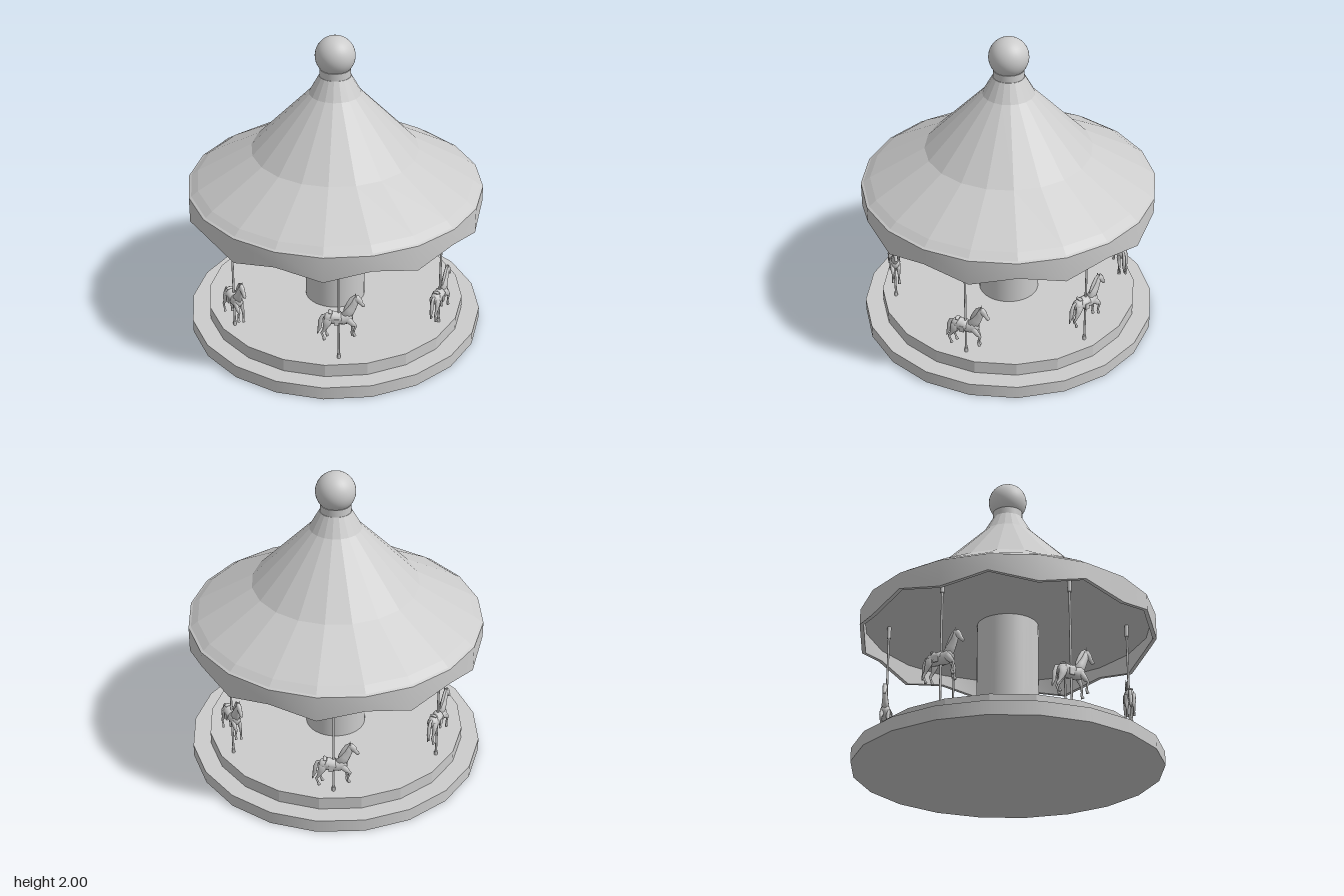
import * as THREE from 'three';
import { toCreasedNormals } from 'three/addons/utils/BufferGeometryUtils.js';

const SIDES = 20;
const smooth = new THREE.MeshStandardMaterial({ color: 0xcccccc });
const flat = new THREE.MeshStandardMaterial({ color: 0xcccccc, flatShading: true });

function add(parent, name, geometry, y = 0, material = smooth) {
  const mesh = new THREE.Mesh(geometry, material);
  mesh.name = name;
  mesh.position.y = y;
  parent.add(mesh);
  return mesh;
}

const lathe = (profile, sides) =>
  new THREE.LatheGeometry(profile.map(([r, y]) => new THREE.Vector2(r, y)), sides);

// Closed organic form through rings [x, y, heightRadius, widthRadius, z]
function loft(rings, z = 0, n = 10) {
  const first = rings[0], last = rings[rings.length - 1];
  const cap = (r) => [r[0], r[1], 0, 0, r[4]];
  const path = [cap(first), ...rings, cap(last)];
  const pos = [], index = [];
  path.forEach((r, i) => {
    const k = Math.min(Math.max(i - 1, 0), rings.length - 1);
    const a = rings[Math.max(k - 1, 0)], b = rings[Math.min(k + 1, rings.length - 1)];
    const len = Math.hypot(b[0] - a[0], b[1] - a[1]);
    const tx = (b[0] - a[0]) / len, ty = (b[1] - a[1]) / len;
    for (let j = 0; j < n; j++) {
      const t = (j / n) * Math.PI * 2, c = Math.cos(t) * r[2];
      pos.push(r[0] - ty * c, r[1] + tx * c, z + (r[4] || 0) + Math.sin(t) * r[3]);
      if (i < path.length - 1) {
        const p = i * n + j, q = i * n + ((j + 1) % n);
        index.push(p, q, p + n, q, q + n, p + n);
      }
    }
  });
  const g = new THREE.BufferGeometry();
  g.setAttribute('position', new THREE.Float32BufferAttribute(pos, 3));
  g.setIndex(index);
  g.computeVertexNormals();
  return g;
}

// Horse heading along +x, with its pole through the origin
function createHorse() {
  const horse = new THREE.Group();
  horse.name = 'horse';
  add(horse, 'body', loft([
    [-0.09, 0.012, 0.016, 0.016], [-0.078, 0.01, 0.034, 0.029], [-0.05, 0.008, 0.04, 0.034],
    [-0.01, 0.003, 0.037, 0.034], [0.03, 0.002, 0.04, 0.034], [0.06, 0.012, 0.04, 0.031],
    [0.082, 0.018, 0.022, 0.02]], 0, 14));
  add(horse, 'neck', loft([
    [0.045, 0.02, 0.036, 0.027], [0.072, 0.065, 0.03, 0.02],
    [0.094, 0.108, 0.023, 0.015], [0.106, 0.142, 0.018, 0.013]]));
  add(horse, 'head', loft([
    [0.094, 0.154, 0.012, 0.01], [0.108, 0.146, 0.022, 0.016], [0.124, 0.126, 0.02, 0.015],
    [0.138, 0.106, 0.012, 0.011], [0.149, 0.092, 0.012, 0.01], [0.153, 0.086, 0.007, 0.007]]));
  add(horse, 'mane', loft([
    [0.104, 0.166, 0.007, 0.005], [0.082, 0.146, 0.014, 0.007], [0.062, 0.108, 0.016, 0.008],
    [0.042, 0.073, 0.012, 0.007], [0.03, 0.05, 0.004, 0.004]]));
  add(horse, 'tail', loft([
    [-0.082, 0.03, 0.007, 0.007], [-0.1, 0.024, 0.01, 0.009], [-0.113, -0.015, 0.014, 0.012],
    [-0.117, -0.06, 0.012, 0.01], [-0.13, -0.105, 0.003, 0.003]]));

  // Saddle seat, raised back and hanging flaps
  add(horse, 'saddle', loft([
    [-0.055, 0.022, 0.036, 0.03], [-0.045, 0.017, 0.037, 0.035],
    [-0.015, 0.012, 0.033, 0.037], [0.015, 0.015, 0.035, 0.035]], 0, 14));
  add(horse, 'saddleBack', loft([
    [-0.064, 0.05, 0.006, 0.02], [-0.054, 0.052, 0.009, 0.024], [-0.044, 0.047, 0.006, 0.02]]));

  for (const s of [-1, 1]) {
    const ear = add(horse, 'ear', new THREE.ConeGeometry(0.005, 0.022, 6));
    ear.position.set(0.102, 0.168, s * 0.009);
    const flap = add(horse, 'saddleFlap', new THREE.BoxGeometry(0.032, 0.042, 0.006));
    flap.position.set(-0.015, -0.004, s * 0.035);

    // Legs differ between the sides, as in a gallop
    const d = s > 0 ? 0.02 : 0;
    add(horse, 'frontLeg', loft([
      [0.055, 0.005, 0.024, 0.014], [0.068 + d, -0.032, 0.016, 0.012],
      [0.083 + d, -0.064 + d, 0.009, 0.008], [0.082 + d / 2, -0.098 + d, 0.006, 0.006],
      [0.08 + d / 2, -0.116 + d, 0.007, 0.007], [0.088 + d / 2, -0.136 + d, 0.011, 0.009]],
      s * 0.02, 8));
    add(horse, 'hindLeg', loft([
      [-0.062, 0.008, 0.03, 0.016], [-0.056 - d, -0.032, 0.022, 0.014],
      [-0.07 - d, -0.066, 0.011, 0.009], [-0.086 - d, -0.088, 0.008, 0.007],
      [-0.076 - d, -0.116, 0.006, 0.006], [-0.068 - d, -0.138, 0.011, 0.009]],
      s * 0.021, 8));
  }
  return horse;
}

// Roof skirt whose lower edge zigzags from corner to corner
function createValance() {
  const g = lathe([[0.915, 0.98], [0.915, 0.835], [0.94, 0.835], [0.94, 1.005], [0.925, 1.012]], SIDES);
  const p = g.attributes.position;
  for (let i = 0; i < p.count; i++) {
    const corner = Math.floor(i / 5);
    if (corner % 2 && p.getY(i) < 0.84) p.setY(i, 0.9);
  }
  return toCreasedNormals(g, 0.5);
}

export function createModel() {
  const carousel = new THREE.Group();
  carousel.name = 'carousel';

  // Stepped platform and centre column
  add(carousel, 'lowerStep', new THREE.CylinderGeometry(0.957, 0.957, 0.085, SIDES), 0.0425);
  add(carousel, 'platform', new THREE.CylinderGeometry(0.84, 0.84, 0.085, SIDES), 0.1275, flat);
  add(carousel, 'column', new THREE.CylinderGeometry(0.195, 0.195, 0.8, 40), 0.57);

  // Tent roof with flat ceiling
  add(carousel, 'roof', lathe([[0.935, 1.003], [0.88, 1.045], [0.53, 1.25], [0.164, 1.63],
    [0.1, 1.745], [0, 1.745]], SIDES), 0, flat);
  add(carousel, 'valance', createValance());
  add(carousel, 'ceiling', new THREE.CylinderGeometry(0.925, 0.925, 0.01, SIDES), 0.975);

  // Ball on its collar
  add(carousel, 'collar', new THREE.CylinderGeometry(0.097, 0.097, 0.05, 32), 1.767);
  add(carousel, 'ball', new THREE.SphereGeometry(0.125, 32, 24), 1.875);

  // Six horses on poles, alternately high and low
  for (let i = 0; i < 6; i++) {
    const angle = (i * Math.PI) / 3;
    const ride = new THREE.Group();
    ride.name = 'ride';
    ride.position.set(0.755 * Math.cos(angle), 0, -0.755 * Math.sin(angle));
    ride.rotation.y = angle + Math.PI / 2;
    add(ride, 'pole', new THREE.CylinderGeometry(0.007, 0.007, 0.8, 12), 0.57);
    add(ride, 'poleFoot', new THREE.CylinderGeometry(0.011, 0.011, 0.03, 12), 0.185);
    add(ride, 'poleSocket', new THREE.CylinderGeometry(0.013, 0.013, 0.08, 12), 0.932);
    const horse = createHorse();
    horse.position.y = i % 2 ? 0.37 : 0.46;
    ride.add(horse);
    carousel.add(ride);
  }
  return carousel;
}
